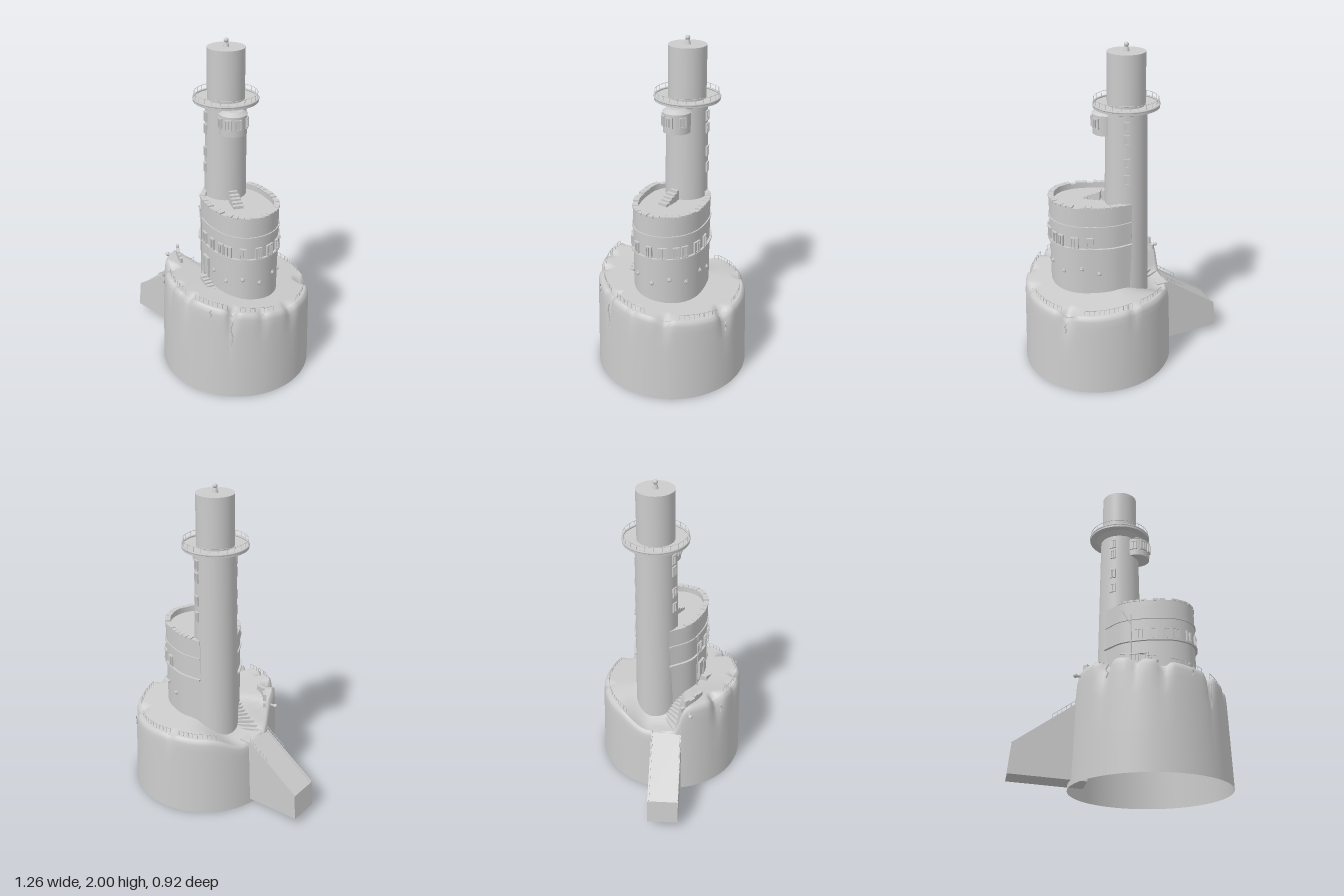
import * as THREE from 'three';
import { toCreasedNormals } from 'three/addons/utils/BufferGeometryUtils.js';

const V = (x, y, z) => new THREE.Vector3(x, y, z);
const smooth = THREE.MathUtils.smoothstep;
const CX = 0.165, TX = 0.005, TZ = -0.08; // base and tower centres

// Sloping ground with a sunken approach next to the ramp
function ground(x, z) {
  const plane = 0.568 - 0.09 * (x - CX) + 0.11 * z;
  const sunk = (1 - smooth(x, -0.22, 0.12)) * (1 - smooth(z, 0.04, 0.1)) * (0.35 + 0.65 * smooth(z, -0.32, -0.12));
  const knoll = 0.025 * (1 - smooth(x, -0.2, 0.1)) * smooth(z, 0.06, 0.14);
  return plane - 0.15 * sunk + knoll;
}

// Broken spots of the rim: angle (degrees), width, depth
const chips = [[136, 8, 0.06], [112, 5, 0.03], [92, 6, 0.04], [54, 4, 0.05], [30, 5, 0.02], [4, 7, 0.03], [-46, 8, 0.05], [-100, 5, 0.02]];
function chip(a) {
  const deg = THREE.MathUtils.radToDeg(a);
  return chips.reduce((s, [c, w, d]) => {
    const k = ((deg - c + 540) % 360) - 180;
    return s + d * Math.max(0, 1 - Math.abs(k) / w);
  }, 0);
}

// Surface of revolution with a free point rule f(row, angle)
function ringGrid(rows, n, f) {
  const pos = [], idx = [];
  for (let j = 0; j <= rows; j++) for (let i = 0; i <= n; i++) pos.push(...f(j, (i / n) * Math.PI * 2).toArray());
  for (let j = 0; j < rows; j++) for (let i = 0; i < n; i++) {
    const a = j * (n + 1) + i, b = a + n + 1;
    idx.push(a, b, a + 1, b, b + 1, a + 1);
  }
  const g = new THREE.BufferGeometry();
  g.setAttribute('position', new THREE.Float32BufferAttribute(pos, 3));
  g.setIndex(idx);
  g.computeVertexNormals();
  return g;
}

export function createModel() {
  const model = new THREE.Group();
  const mat = new THREE.MeshStandardMaterial({ color: 0xcccccc, side: THREE.DoubleSide });
  let seed = 7;
  const rnd = () => (seed = (seed * 16807) % 2147483647) / 2147483647;
  const add = (name, geo, x = 0, y = 0, z = 0, ry = 0, parent = model) => {
    const m = new THREE.Mesh(geo, mat);
    m.name = name;
    m.position.set(x, y, z);
    m.rotation.y = ry;
    parent.add(m);
    return m;
  };
  const group = (name) => { const g = new THREE.Group(); g.name = name; model.add(g); return g; };
  const box = (name, w, h, d, ...at) => add(name, new THREE.BoxGeometry(w, h, d), ...at);
  const cyl = (name, rt, rb, y0, y1, x, z, n = 48, parent = model) =>
    add(name, new THREE.CylinderGeometry(rt, rb, y1 - y0, n), x, (y0 + y1) / 2, z, 0, parent);
  const tube = (name, pts, r, parent = model) =>
    add(name, new THREE.TubeGeometry(new THREE.CatmullRomCurve3(pts, false, 'centripetal'), pts.length * 3, r, 5), 0, 0, 0, 0, parent);
  function railing(name, pts, h, r = 0.0018) {
    const g = group(name);
    pts.forEach((p) => cyl('railPost', r, r, p.y, p.y + h, p.x, p.z, 5, g));
    tube('handrail', pts.map((p) => V(p.x, p.y + h, p.z)), r, g);
  }

  // Round hollow base: tapered wall, eroded rim and sloping ground
  const wall = [[0, 0.462], [0.35, 0.456], [0.7, 0.45], [0.86, 0.447], [0.94, 0.444], [0.98, 0.438], [1, 0.425]];
  const rim = (a) => ground(CX + 0.425 * Math.cos(a), 0.425 * Math.sin(a)) - chip(a);
  add('baseWall', ringGrid(wall.length - 1, 120, (j, a) => {
    const [t, r0] = wall[j], r = r0 - chip(a) * 0.6 * smooth(t, 0.7, 1);
    return V(CX + r * Math.cos(a), t * rim(a), r * Math.sin(a));
  }));
  add('groundTop', ringGrid(26, 120, (j, a) => {
    const r = (0.425 - chip(a) * 0.6) * (1 - j / 26);
    const x = CX + r * Math.cos(a), z = r * Math.sin(a);
    return V(x, ground(x, z) - chip(a) * Math.max(0, 1 - j / 3), z);
  }));
  // Cracks running down the wall below broken spots
  [[54, 0.17], [133, 0.07], [-46, 0.06], [70, 0.05]].forEach(([d, len]) => {
    const a = THREE.MathUtils.degToRad(d);
    const pts = [0, 0.3, 0.6, 1].map((t, i) => {
      const b = a + (i % 2 ? 0.014 : -0.01);
      return V(CX + 0.447 * Math.cos(b), rim(a) - 0.01 - t * len, 0.447 * Math.sin(b));
    });
    tube('wallCrack', pts, 0.004);
  });
  // Rim railings
  [[20, 50], [58, 88], [97, 128], [-40, -5], [-100, -58], [-140, -108]].forEach(([a0, a1]) => {
    const pts = [];
    for (let d = a0; d <= a1; d += 4) {
      const a = THREE.MathUtils.degToRad(d), x = CX + 0.412 * Math.cos(a), z = 0.412 * Math.sin(a);
      pts.push(V(x, ground(x, z) - 0.005, z));
    }
    railing('rimRailing', pts, 0.034);
  });

  // Entrance ramp with low curbs
  const side = new THREE.Shape([[-0.63, 0.05], [-0.615, 0.21], [-0.27, 0.45], [-0.2, 0.45], [-0.2, 0.025]].map((p) => new THREE.Vector2(...p)));
  add('ramp', new THREE.ExtrudeGeometry(side, { depth: 0.185, bevelEnabled: false }), 0, 0, -0.1);
  [-0.094, 0.079].forEach((z) => {
    const c = box('rampCurb', 0.41, 0.012, 0.01, -0.443, 0.333, z);
    c.rotation.z = Math.atan2(0.24, 0.345);
    railing('rampRailing', [0, 1, 2, 3, 4, 5].map((i) => V(-0.4 + i * 0.025, 0.36 + i * 0.0174, z)), 0.032);
  });

  // Fan of steps from the ramp up to the front plateau
  const stairs = group('curvedStairs');
  for (let i = 0; i < 10; i++) {
    const a = THREE.MathUtils.degToRad(152 - i * 6), h = 0.12, y = 0.465 + i * 0.0155;
    box('step', 0.17, h, 0.036, TX + 0.205 * Math.cos(a), y - h / 2, TZ + 0.205 * Math.sin(a), -a, stairs);
  }
  // Ruined lookout beside the stairs
  const lookout = group('lookout');
  for (let i = 0; i < 7; i++) {
    const a = THREE.MathUtils.degToRad(145 - i * 5), h = 0.03 + rnd() * 0.03;
    const x = TX + 0.3 * Math.cos(a), z = TZ + 0.3 * Math.sin(a);
    box('wallBlock', 0.018, h, 0.03, x, ground(x, z) + h / 2 - 0.01, z, -a, lookout);
  }
  tube('spout', [V(-0.2, 0.6, 0.12), V(-0.25, 0.605, 0.132), V(-0.28, 0.605, 0.138)], 0.008, lookout);
  add('spoutEnd', new THREE.SphereGeometry(0.013, 10, 8), -0.287, 0.605, 0.14, 0, lookout);

  // Keep: outline wraps from the tower's front round to its back
  const curve = new THREE.CatmullRomCurve3([[-0.095, 0], [-0.02, 0.12], [0.08, 0.18], [0.18, 0.213], [0.28, 0.22], [0.37, 0.185], [0.425, 0.11],
    [0.44, 0.02], [0.415, -0.07], [0.35, -0.145], [0.25, -0.195], [0.14, -0.222], [0.02, -0.21]].map(([x, z]) => V(x, 0, z)), false, 'centripetal');
  function onWall(t, off = 0) {
    const p = curve.getPointAt(t), d = curve.getTangentAt(t);
    return { x: p.x - d.z * off, z: p.z + d.x * off, ry: Math.atan2(-d.z, d.x) };
  }
  const outline = (off) => Array.from({ length: 65 }, (_, i) => {
    const p = onWall(i / 64, off);
    return new THREE.Vector2(p.x, -p.z);
  });
  const raise = (name, pts, y0, y1) => add(name, toCreasedNormals(
    new THREE.ExtrudeGeometry(new THREE.Shape(pts), { depth: y1 - y0, bevelEnabled: false }).rotateX(-Math.PI / 2), 0.5), 0, y0);
  const band = (name, out, inn, y0, y1) => raise(name, [...outline(out), ...outline(inn).reverse()], y0, y1);
  raise('keepBody', outline(0), 0.44, 1.06);
  band('parapet', 0, -0.028, 1.05, 1.09);
  band('upperLedge', 0.007, -0.01, 0.968, 0.978);
  band('lowerLedge', 0.014, -0.01, 0.828, 0.838);
  // Coping stones, unevenly worn
  for (let i = 0; i < 30; i++) {
    const p = onWall(0.1 + i * 0.029, -0.014);
    if (rnd() > 0.15) box('copingStone', 0.032, 0.012, 0.034, p.x, 1.09 + rnd() * 0.004, p.z, p.ry);
  }
  // Framed windows
  function windowAt(x, y, z, ry, w, h) {
    const g = group('window');
    g.position.set(x, y, z);
    g.rotation.y = ry;
    for (const s of [-1, 1]) {
      box('jamb', 0.008, h, 0.016, s * w / 2, 0, 0, 0, g);
      box('lintel', w + 0.008, 0.007, 0.016, 0, s * h / 2, 0, 0, g);
    }
    box('shutter', 0.004, h, 0.022, 0, 0, 0, 0, g);
    box('pane', w, h, 0.004, 0, 0, 0, 0, g);
  }
  [0.19, 0.26, 0.32, 0.36, 0.43, 0.5, 0.56, 0.62, 0.66, 0.73, 0.8].forEach((t, i) => {
    const p = onWall(t, 0.003);
    windowAt(p.x, 0.873, p.z, p.ry, i % 3 ? 0.032 : 0.042, 0.062);
  });
  // Portholes
  [0.27, 0.35, 0.43, 0.51, 0.59, 0.67, 0.76, 0.84].forEach((t, i) => {
    const p = onWall(t, 0.002);
    add('porthole', new THREE.TorusGeometry(0.011, 0.004, 6, 14), p.x, i % 2 ? 0.67 : 0.7, p.z, p.ry);
    add('portholeGlass', new THREE.SphereGeometry(0.01, 10, 8), p.x, i % 2 ? 0.67 : 0.7, p.z);
  });
  // Door with its steps
  const dp = onWall(0.21), door = group('door');
  door.position.set(dp.x, 0.62, dp.z);
  door.rotation.y = dp.ry;
  box('doorLeaf', 0.05, 0.11, 0.01, 0, 0.07, 0.003, 0, door);
  [-1, 1].forEach((s) => box('doorPost', 0.008, 0.13, 0.02, s * 0.028, 0.065, 0.004, 0, door));
  box('doorHead', 0.066, 0.01, 0.022, 0, 0.132, 0.004, 0, door);
  for (let i = 0; i < 5; i++) box('doorStep', 0.022, 0.09, 0.045, 0.012 + i * 0.022, -0.032 - i * 0.01, 0.024, 0, door);
  // Drain pipe with a forked top
  const pp = onWall(0.16, 0.012);
  tube('drainPipe', [V(pp.x, 0.6, pp.z), V(pp.x, 0.8, pp.z), V(pp.x, 1, pp.z)], 0.004);
  tube('pipeFork', [V(pp.x, 0.94, pp.z), V(pp.x - 0.025, 0.99, pp.z - 0.02), V(pp.x - 0.045, 1.035, pp.z - 0.035)], 0.004);
  // Roof steps by the tower
  for (let i = 0; i < 4; i++) box('roofStep', 0.024, 0.05 - i * 0.011, 0.06, 0.145 + i * 0.021, 1.085 - i * 0.0055, 0.005 + i * 0.014, -0.6);
  box('roofDoor', 0.03, 0.06, 0.05, 0.115, 1.09, -0.015, -0.6);

  // Tall round tower
  cyl('towerShaft', 0.119, 0.136, 0.4, 1.62, TX, TZ, 64);
  cyl('towerCornice', 0.15, 0.119, 1.615, 1.642, TX, TZ, 64);
  cyl('galleryFloor', 0.19, 0.19, 1.64, 1.652, TX, TZ, 64);
  add('galleryEdge', new THREE.TorusGeometry(0.187, 0.006, 6, 64).rotateX(Math.PI / 2), TX, 1.657, TZ);
  railing('galleryRailing', Array.from({ length: 25 }, (_, i) => {
    const a = (i / 24) * Math.PI * 2;
    return V(TX + 0.184 * Math.cos(a), 1.65, TZ + 0.184 * Math.sin(a));
  }), 0.04, 0.0015);
  cyl('lanternDrum', 0.109, 0.109, 1.65, 1.95, TX, TZ, 64);
  cyl('finialBase', 0.011, 0.018, 1.95, 1.975, TX, TZ, 16);
  add('finialBall', new THREE.SphereGeometry(0.014, 14, 10), TX, 1.986, TZ);
  // Two columns of tower windows
  [[-0.5, 0.866], [0.34, -0.94]].forEach(([nx, nz]) => [1.555, 1.48, 1.34, 1.24].forEach((y) => {
    const r = 0.12 + (1.62 - y) * 0.0139;
    windowAt(TX + nx * r, y, TZ + nz * r, Math.atan2(nx, nz), 0.028, 0.052);
  }));

  // Rounded bay under the gallery
  cyl('bayRoom', 0.08, 0.08, 1.48, 1.6, 0.105, -0.025, 40);
  cyl('bayRoof', 0.055, 0.084, 1.598, 1.618, 0.105, -0.025, 40);
  [-25, 30, 70, 115].forEach((d) => {
    const a = THREE.MathUtils.degToRad(d);
    windowAt(0.105 + 0.08 * Math.cos(a), 1.55, -0.025 + 0.08 * Math.sin(a), Math.PI / 2 - a, 0.034, 0.055);
  });
  return model;
}
